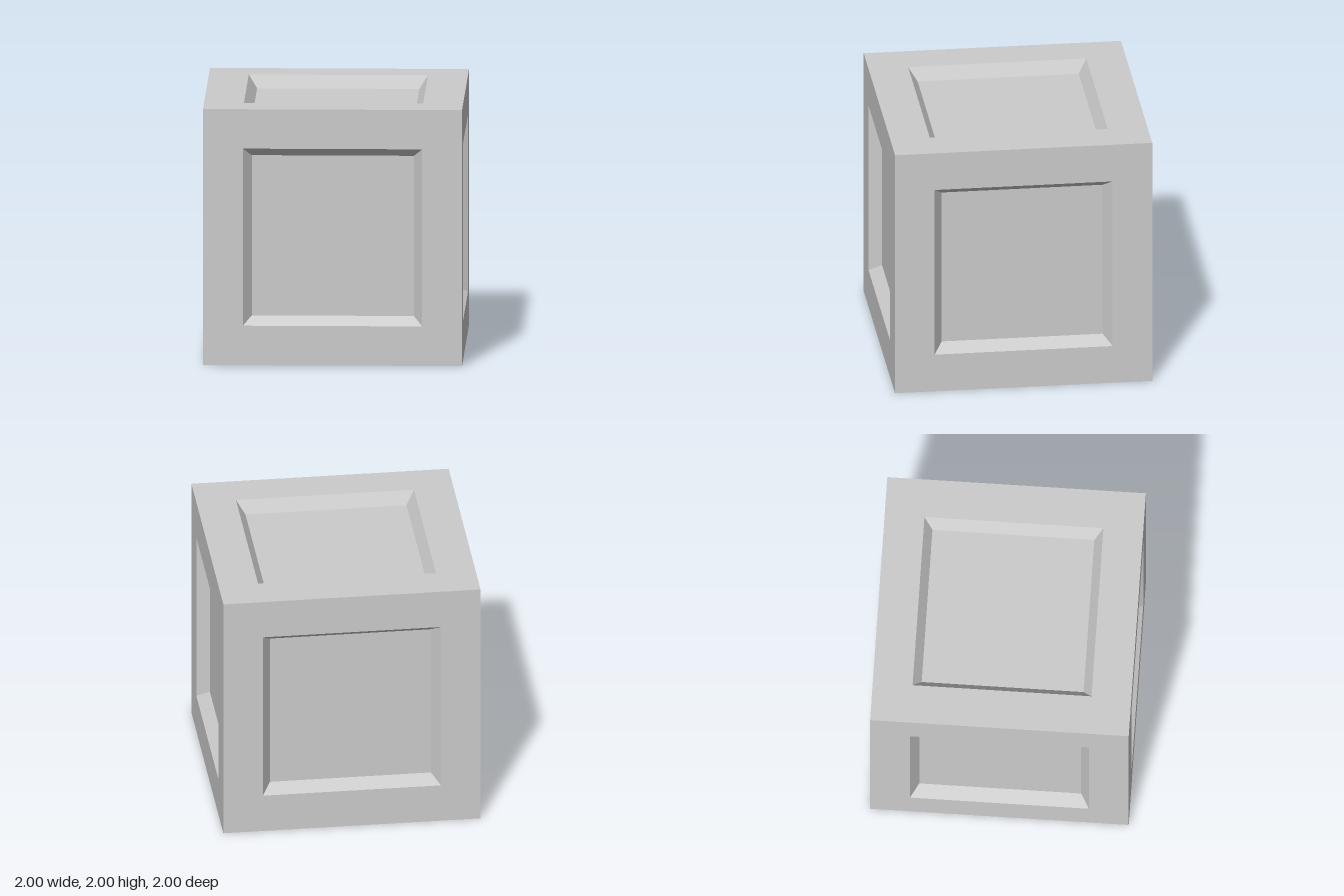
import * as THREE from 'three';

const HALF = 1;        // half the cube's edge
const OPENING = 0.692; // half width of the recess at the surface
const FLOOR = 0.626;   // half width of the recess floor
const DEPTH = 0.097;   // depth of the recess

// One cube face, pointing up: flat border, sloped recess walls, flat floor.
// A four-sided lathe turns the half-width profile into nested squares.
function facePanelGeometry() {
  const profile = [
    [HALF, HALF],
    [OPENING, HALF],
    [FLOOR, HALF - DEPTH],
    [0, HALF - DEPTH],
  ].map(([w, y]) => new THREE.Vector2(w * Math.SQRT2, y));
  const geometry = new THREE.LatheGeometry(profile, 4, Math.PI / 4).toNonIndexed();
  geometry.computeVertexNormals();
  return geometry;
}

export function createModel() {
  const model = new THREE.Group();
  model.name = 'recessedCube';
  const material = new THREE.MeshStandardMaterial({ color: 0xcccccc, flatShading: true });
  const geometry = facePanelGeometry();
  const q = Math.PI / 2;

  // The same panel turned to each of the six sides
  const sides = {
    topPanel: [0, 0, 0],
    bottomPanel: [2 * q, 0, 0],
    frontPanel: [q, 0, 0],
    backPanel: [-q, 0, 0],
    leftPanel: [0, 0, -q],
    rightPanel: [0, 0, q],
  };
  for (const [name, rotation] of Object.entries(sides)) {
    const panel = new THREE.Mesh(geometry, material);
    panel.name = name;
    panel.rotation.set(...rotation);
    panel.position.y = HALF;
    model.add(panel);
  }
  return model;
}
